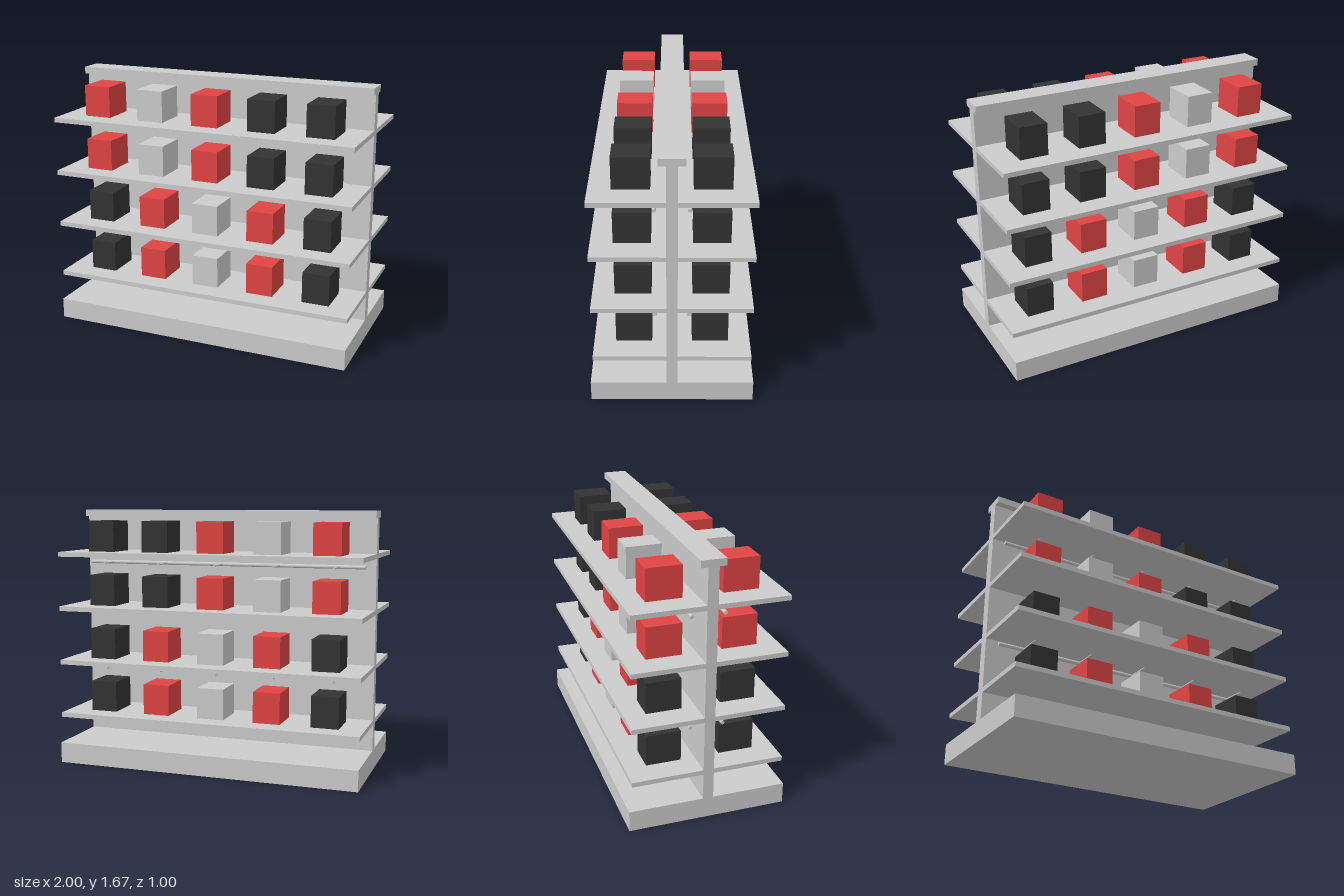
import * as THREE from 'three';

const grey = new THREE.MeshStandardMaterial({ color: 0xcccccc });
const red = new THREE.MeshStandardMaterial({ color: 0xe04444 });
const black = new THREE.MeshStandardMaterial({ color: 0x333333 });

function add(parent, name, geometry, material, x, y, z) {
  const mesh = new THREE.Mesh(geometry, material);
  mesh.name = name;
  mesh.position.set(x, y, z);
  parent.add(mesh);
  return mesh;
}

export function createModel() {
  const model = new THREE.Group();
  model.name = 'displayShelf';

  // Plinth, central panel and top cap
  add(model, 'base', new THREE.BoxGeometry(2, 0.134, 1), grey, 0, 0.067, 0);
  add(model, 'centrePanel', new THREE.BoxGeometry(2, 1.494, 0.066), grey, 0, 0.88, 0);
  add(model, 'topCap', new THREE.BoxGeometry(2, 0.044, 0.154), grey, 0, 1.647, 0);

  const shelfGeo = new THREE.BoxGeometry(2, 0.03, 0.447);
  const boxGeo = new THREE.BoxGeometry(0.177, 0.2, 0.222);
  const railGeo = new THREE.CylinderGeometry(0.012, 0.012, 1.89, 16).rotateZ(Math.PI / 2);
  const hookGeo = new THREE.CylinderGeometry(0.0055, 0.0055, 0.157, 10).rotateX(Math.PI / 2);

  // Goods colours from -x to +x, lower and upper pairs of shelves
  const lower = [black, red, grey, red, black];
  const upper = [red, grey, red, black, black];

  for (const side of [1, -1]) {
    const half = new THREE.Group();
    half.name = side > 0 ? 'frontSide' : 'backSide';
    model.add(half);

    // Four shelves, each with a row of five boxes
    for (let level = 0; level < 4; level++) {
      const top = 0.335 + level * 0.355;
      add(half, 'shelf', shelfGeo, grey, 0, top - 0.015, side * 0.2565);
      (level < 2 ? lower : upper).forEach((material, i) =>
        add(half, 'productBox', boxGeo, material, (i - 2) * 0.377, top + 0.1, side * 0.234));
    }

    // Hanging rails with outward pegs
    for (const y of [0.608, 1.319]) {
      add(half, 'rail', railGeo, grey, 0, y, side * 0.102);
      for (let i = -2; i <= 2; i++)
        add(half, 'peg', hookGeo, grey, i * 0.389, y, side * 0.179);
    }
  }
  return model;
}
